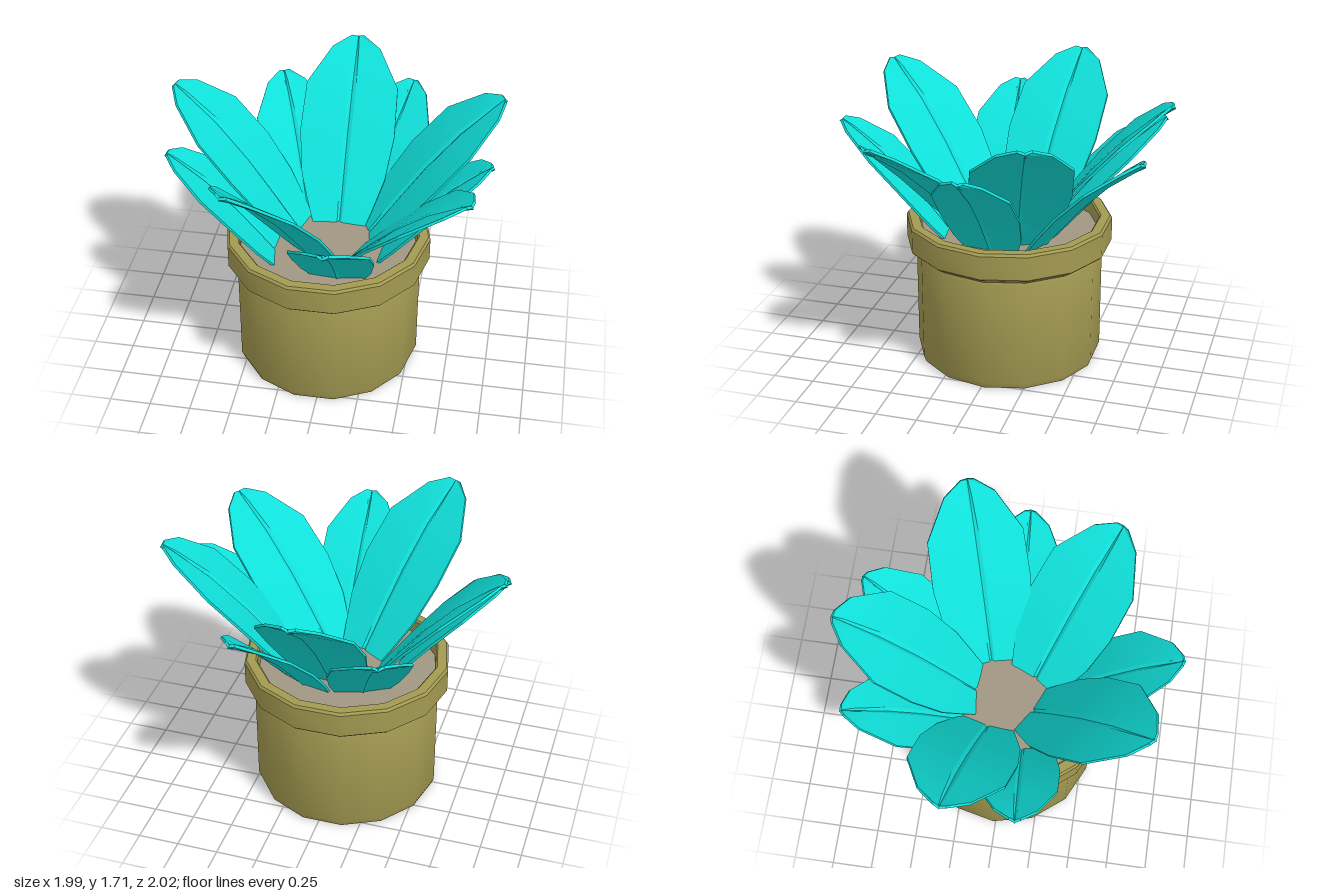
import * as THREE from 'three';
import { toCreasedNormals } from 'three/addons/utils/BufferGeometryUtils.js';

const material = (name, color) => {
  const m = new THREE.MeshStandardMaterial({ color });
  m.name = name;
  return m;
};

// Leaf stations: distance along, height along, half width
const STATIONS = [
  [-0.12, -0.18, 0.09], [0, 0, 0.13], [0.14, 0.17, 0.2], [0.27, 0.33, 0.26], [0.46, 0.55, 0.295],
  [0.7, 0.785, 0.285], [0.92, 0.95, 0.15], [1, 1, 0.04],
];
// Leaf cross-section: side fraction, offset; a grooved upper face and a parallel underside
const SECTION = [
  [-1, 0.012], [-0.08, 0], [0, -0.012], [0.08, 0], [1, 0.012],
  [1, -0.004], [0.08, -0.018], [0, -0.026], [-0.08, -0.018], [-1, -0.004],
];

// Sweeps the section from a base point to a tip point
function leafGeometry(base, tip, width) {
  const a = new THREE.Vector3(...base), b = new THREE.Vector3(...tip);
  const flat = new THREE.Vector3(b.x - a.x, 0, b.z - a.z);
  const length = flat.length(), rise = b.y - a.y;
  flat.normalize();
  const side = new THREE.Vector3(0, 1, 0).cross(flat);
  const normal = new THREE.Vector3().copy(flat).multiplyScalar(-rise).setY(length).normalize();
  const positions = [], index = [], n = SECTION.length;
  for (const [t, h, w] of STATIONS) {
    const centre = a.clone().addScaledVector(flat, t * length);
    centre.y += h * rise;
    for (const [u, v] of SECTION) {
      const p = centre.clone().addScaledVector(side, u * w * width).addScaledVector(normal, v);
      positions.push(p.x, p.y, p.z);
    }
  }
  for (let i = 0; i < STATIONS.length - 1; i++) {
    for (let j = 0; j < n; j++) {
      const p = i * n + j, q = i * n + (j + 1) % n;
      index.push(p, p + n, q + n, p, q + n, q);
    }
  }
  // End caps
  const last = (STATIONS.length - 1) * n;
  for (let j = 0; j < n / 2 - 1; j++) {
    const k = n - 1 - j;
    index.push(j, j + 1, k - 1, j, k - 1, k);
    index.push(last + j, last + k - 1, last + j + 1, last + j, last + k, last + k - 1);
  }
  const g = new THREE.BufferGeometry();
  g.setAttribute('position', new THREE.Float32BufferAttribute(positions, 3));
  g.setIndex(index);
  return toCreasedNormals(g, 0.3);
}

export function createModel() {
  const model = new THREE.Group();
  model.name = 'pottedPlant';
  const clay = material('olive clay', 0xa39a51);
  const earth = material('grey soil', 0xa09682);
  const leafColor = material('turquoise leaf', 0x10e0da);
  const sides = 14;

  // Pot: one turned profile with a flared, hollow rim
  const profile = [
    [0, 0], [0.555, 0], [0.57, 0.04], [0.57, 0.69], [0.565, 0.705], [0.615, 0.738], [0.627, 0.75],
    [0.627, 0.895], [0.615, 0.91], [0.56, 0.91], [0.55, 0.9], [0.545, 0.78],
  ].map(([x, y]) => new THREE.Vector2(x, y));
  const potGeometry = new THREE.LatheGeometry(profile, sides, Math.PI / 2);
  const pot = new THREE.Mesh(toCreasedNormals(potGeometry, 0.6), clay);
  pot.name = 'pot';
  pot.position.set(-0.02, 0, -0.015);
  model.add(pot);

  // Soil disc inside the rim
  const soil = new THREE.Mesh(new THREE.CylinderGeometry(0.547, 0.547, 0.03, sides, 1, false, Math.PI / 2), earth);
  soil.name = 'soil';
  soil.position.set(-0.02, 0.805, -0.015);
  model.add(soil);

  // Leaves: base x, z, then tip x, y, z
  const addLeaves = (name, list, baseY, width) => list.forEach(([bx, bz, ...tip], i) => {
    const leaf = new THREE.Mesh(leafGeometry([bx, baseY, bz], tip, width), leafColor);
    leaf.name = `${name}${i + 1}`;
    model.add(leaf);
  });
  addLeaves('innerLeaf', [
    [0.02, -0.13, 0.01, 1.7, -0.99],
    [0.15, -0.11, 0.97, 1.7, -0.38],
    [0.07, 0.11, 0.86, 1.58, 0.55],
    [-0.04, 0.1, -0.45, 1.7, 0.86],
    [-0.14, -0.09, -0.98, 1.7, -0.23],
  ], 0.73, 1);
  addLeaves('outerLeaf', [
    [0.09, 0.2, 0.12, 1.47, 0.99],
    [0.2, 0, 0.94, 1.47, 0],
    [0.12, -0.15, 0.38, 1.47, -0.9],
    [-0.13, -0.12, -0.45, 1.47, -0.88],
    [-0.2, 0.12, -0.94, 1.47, 0.17],
  ], 0.66, 0.8);
  return model;
}
